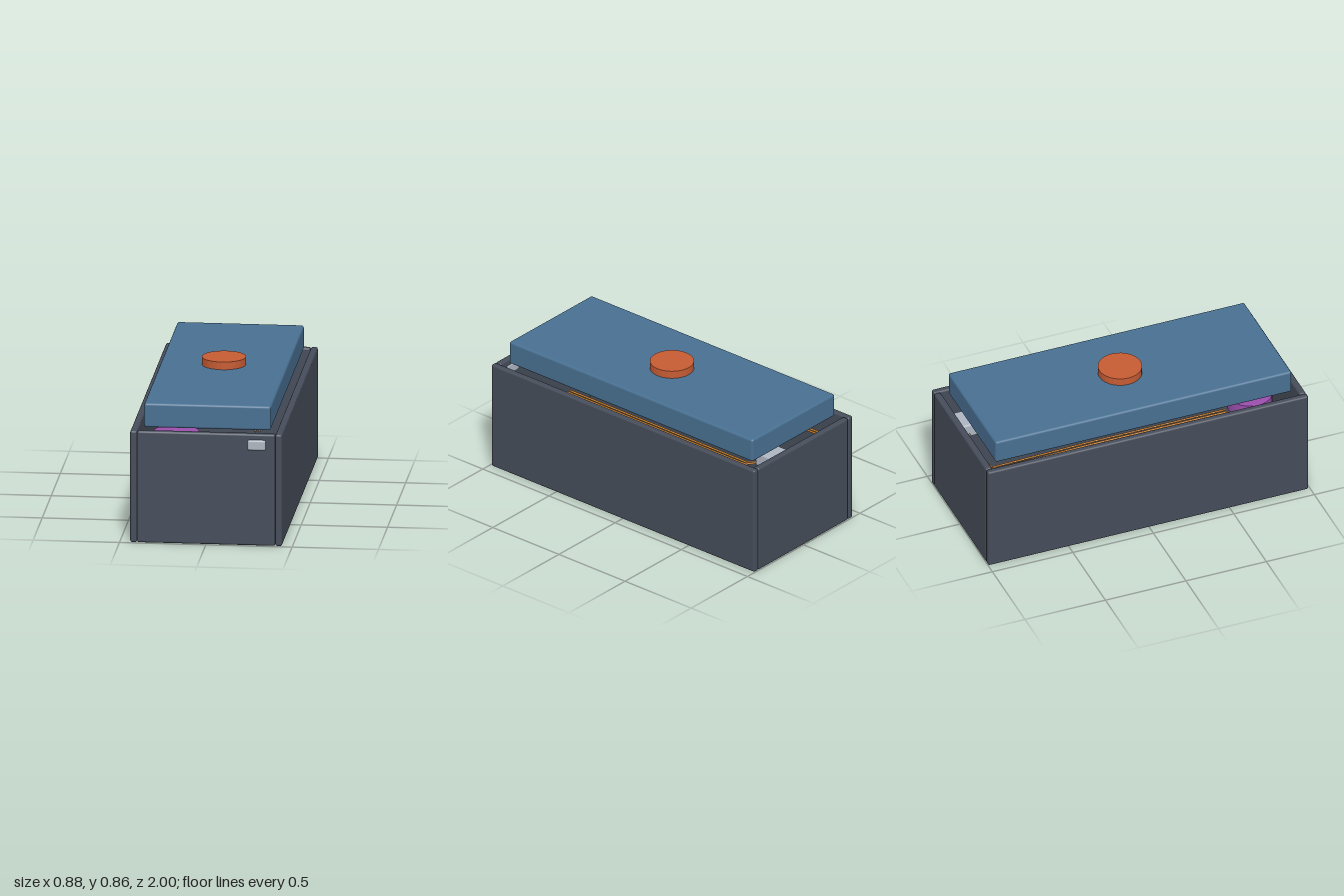
import * as THREE from 'three';
import { RoundedBoxGeometry } from 'three/addons/geometries/RoundedBoxGeometry.js';

const paint = (name, color, flatShading = false) => {
  const m = new THREE.MeshStandardMaterial({ color, flatShading });
  m.name = name;
  return m;
};

export function createModel() {
  const slate = paint('slate', 0x464d5a);
  const blue = paint('blue', 0x487092);
  const rust = paint('rust', 0xc65c34, true);
  const silver = paint('silver', 0xaeb6c2);
  const purple = paint('purple', 0x9b4fad);
  const orange = paint('orange', 0xd5862a);

  const model = new THREE.Group();
  model.name = 'liddedBox';

  const add = (name, geometry, material, x = 0, y = 0, z = 0) => {
    const mesh = new THREE.Mesh(geometry, material);
    mesh.name = name;
    mesh.position.set(x, y, z);
    model.add(mesh);
    return mesh;
  };
  // Rounded box given by its minimum and maximum corners
  const block = (name, material, a, b, radius) => {
    const size = a.map((v, i) => b[i] - v);
    const mid = a.map((v, i) => (b[i] + v) / 2);
    return add(name, new RoundedBoxGeometry(...size, 3, radius), material, ...mid);
  };

  // Four walls, open underneath
  const top = 0.664;
  block('leftWall', slate, [0.4, 0, -1], [0.44, top, 0.99], 0.012);
  block('rightWall', slate, [-0.44, 0, -1], [-0.4, top, 0.99], 0.012);
  block('frontWall', slate, [-0.4, 0, 0.95], [0.4, top, 0.99], 0.012);
  block('backWall', slate, [-0.4, 0, -1], [0.4, top, -0.96], 0.012);

  // Raised lid with a round knob
  block('lid', blue, [-0.367, 0.667, -0.925], [0.367, 0.811, 0.915], 0.014);
  add('knob', new THREE.CylinderGeometry(0.128, 0.128, 0.047, 28), rust, 0, 0.8335, -0.005);

  // Small plate on the front wall and fitting inside the back wall
  block('frontPlate', silver, [0.24, 0.568, 0.945], [0.346, 0.63, 1], 0.012);
  block('backFitting', silver, [0.07, 0.55, -0.96], [0.22, 0.635, -0.82], 0.012);

  // Round piece tucked under the lid
  add('innerDisc', new THREE.CylinderGeometry(0.13, 0.13, 0.09, 32), purple, -0.2, 0.555, 0.72);

  // Thin wires running inside the long walls and meeting at the back
  const wire = (name, points) => {
    const path = new THREE.CurvePath();
    const p = points.map((q) => new THREE.Vector3(...q));
    for (let i = 1; i < p.length; i++) path.add(new THREE.LineCurve3(p[i - 1], p[i]));
    add(name, new THREE.TubeGeometry(path, 48, 0.006, 6), orange);
  };
  for (const d of [0, 0.022]) {
    wire('rightWire', [[-0.27 + d, 0.56, 0.55], [-0.27 + d, 0.56, -0.3], [-0.3 + d, 0.57, -0.93 + d / 2], [0, 0.58, -0.95]]);
    wire('leftWire', [[0.26 - d, 0.56, 0.56], [0.26 - d, 0.56, -0.78], [0.07 - d, 0.57, -0.93], [0, 0.58, -0.95]]);
  }

  return model;
}
